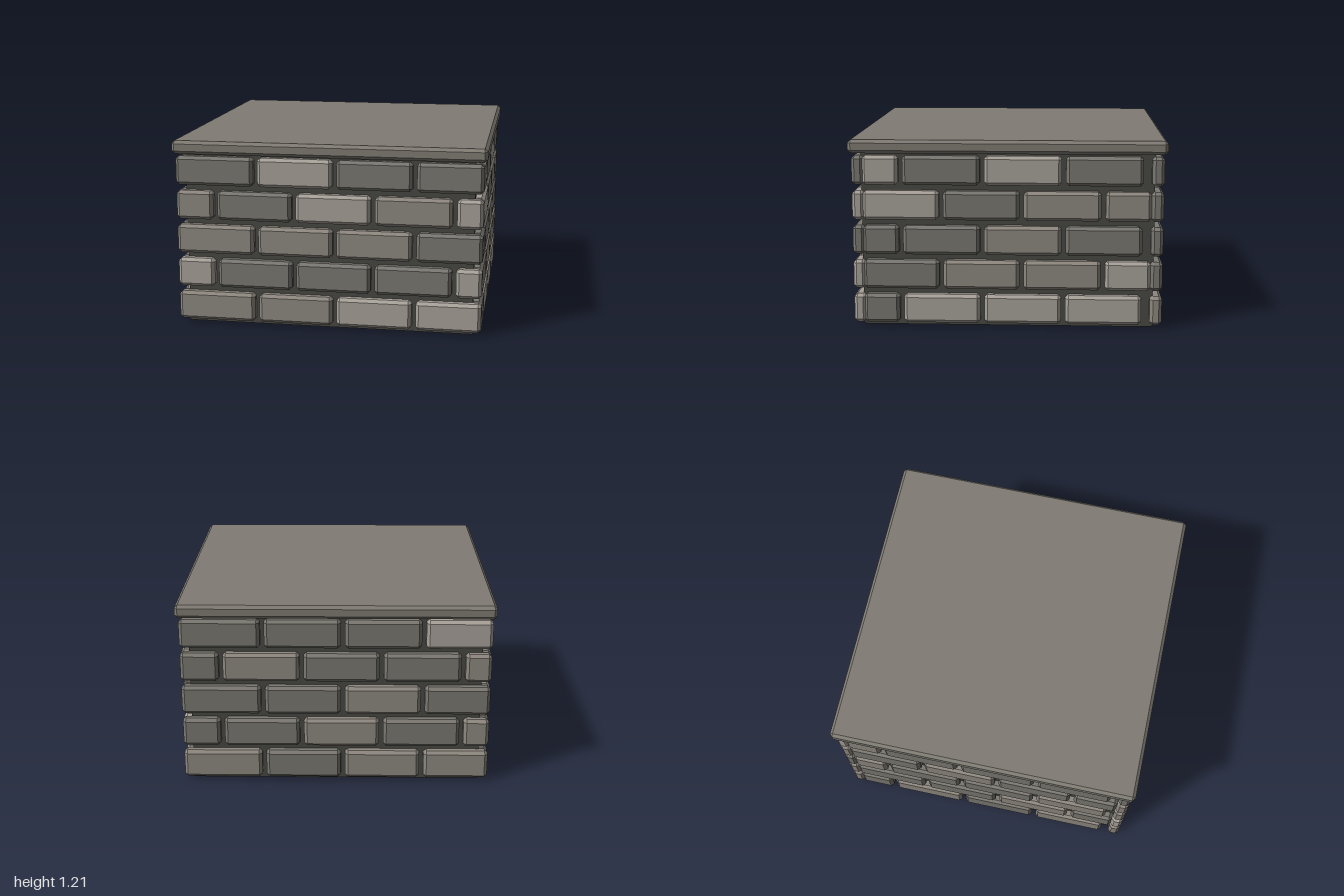
import * as THREE from 'three';
import { ConvexGeometry } from 'three/addons/geometries/ConvexGeometry.js';

const material = (color) => new THREE.MeshStandardMaterial({ color, flatShading: true });

// Box with every edge and corner cut off at 45 degrees
function chamferBox(w, h, d, c) {
  const points = [];
  for (const sx of [-0.5, 0.5]) for (const sy of [-0.5, 0.5]) for (const sz of [-0.5, 0.5]) {
    const X = sx * w, Y = sy * h, Z = sz * d;
    const ix = 2 * sx * c, iy = 2 * sy * c, iz = 2 * sz * c;
    points.push(
      new THREE.Vector3(X, Y - iy, Z - iz),
      new THREE.Vector3(X - ix, Y, Z - iz),
      new THREE.Vector3(X - ix, Y - iy, Z)
    );
  }
  return new ConvexGeometry(points);
}

// Brick boundaries along a wall, for even and odd courses
const LONG_WALL = [
  [-0.995, -0.463, 0.045, 0.553, 0.995],
  [-0.995, -0.727, -0.217, 0.29, 0.805, 0.995]
];
const INNER_WALL = [
  [-0.93, -0.675, -0.16, 0.355, 0.865],
  [-0.93, -0.42, 0.09, 0.605, 0.92]
];

// Brick shades per course, bottom to top: Dark, Mid, Light
const WALLS = [
  { name: 'frontWall', cuts: LONG_WALL, shades: ['MMLL', 'LDDDL', 'MMMD', 'MDLML', 'DLDD'] },
  { name: 'leftWall', cuts: INNER_WALL, shades: ['DLLL', 'DMML', 'DDMD', 'LDMM', 'LDLD'] },
  { name: 'backWall', cuts: LONG_WALL, shades: ['MDMM', 'DDMDM', 'DDMD', 'DMDDM', 'DDDL'] },
  { name: 'rightWall', cuts: INNER_WALL, shades: ['DMDM', 'DDMD', 'MDDM', 'DMDD', 'MDDD'] }
];

const GAP = 0.027, BRICK_HEIGHT = 0.187, COURSE = 0.2235, DEPTH = 0.077, FACE = 0.982;

export function createModel() {
  const model = new THREE.Group();
  const shades = { D: material(0x7a7871), M: material(0x8e8880), L: material(0xa8a29a) };

  // Mortar core
  const core = new THREE.Mesh(new THREE.BoxGeometry(1.852, 1.13, 1.852), material(0x484844));
  core.name = 'mortarCore';
  core.position.y = 0.565;
  model.add(core);

  // Four brick walls, each turned a quarter from the last
  WALLS.forEach(({ name, cuts, shades: courses }, side) => {
    const wall = new THREE.Group();
    wall.name = name;
    wall.rotation.y = side * Math.PI / 2;
    courses.forEach((course, row) => {
      const joints = cuts[row % 2];
      [...course].forEach((shade, i) => {
        const width = joints[i + 1] - joints[i] - GAP;
        const brick = new THREE.Mesh(chamferBox(width, BRICK_HEIGHT, DEPTH, 0.02), shades[shade]);
        brick.name = 'brick';
        brick.position.set(
          (joints[i] + joints[i + 1]) / 2,
          0.023 + BRICK_HEIGHT / 2 + row * COURSE,
          FACE - DEPTH / 2
        );
        wall.add(brick);
      });
    });
    model.add(wall);
  });

  // Overhanging cap slab
  const cap = new THREE.Mesh(chamferBox(2, 0.086, 2, 0.02), material(0x807c74));
  cap.name = 'capSlab';
  cap.position.y = 1.162;
  model.add(cap);

  return model;
}
